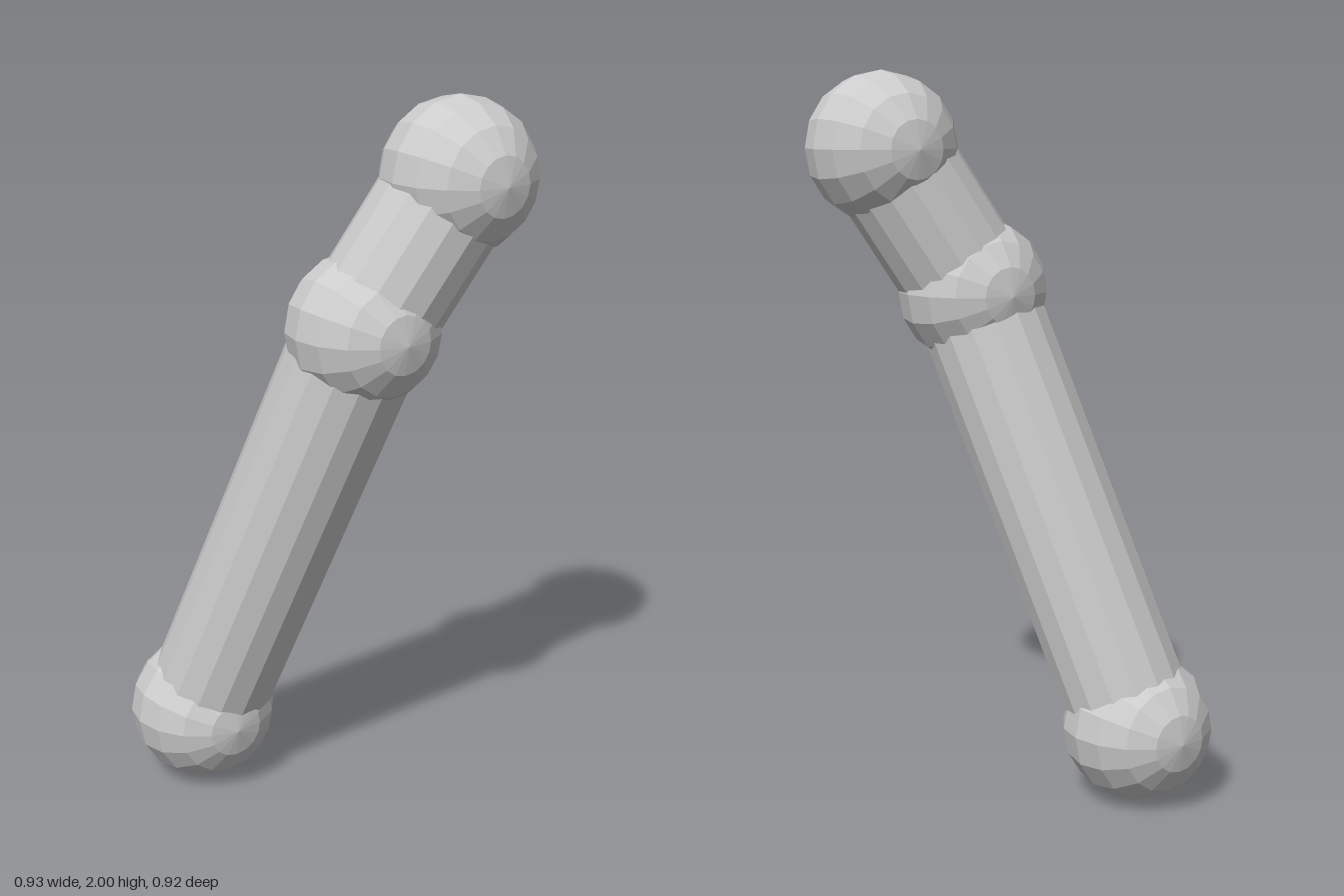
import * as THREE from 'three';

const BALL_RADIUS = 0.208;
const TUBE_RADIUS = 0.174;
const SIDES = 16;

export function createModel() {
  const group = new THREE.Group();
  const material = new THREE.MeshStandardMaterial({ color: 0xcccccc, flatShading: true });

  // Joint centres from the foot of the limb to its tip
  const joints = [
    ['lowerJoint', new THREE.Vector3(-0.255, 0.208, -0.25)],
    ['middleJoint', new THREE.Vector3(0.02, 1.4, 0.165)],
    ['upperJoint', new THREE.Vector3(0.255, 1.792, 0.25)],
  ];

  // Faceted balls with their poles facing front and back
  const ballGeometry = new THREE.SphereGeometry(BALL_RADIUS, SIDES, SIDES / 2).rotateX(Math.PI / 2);
  for (const [name, centre] of joints) {
    const ball = new THREE.Mesh(ballGeometry, material);
    ball.name = name;
    ball.position.copy(centre);
    group.add(ball);
  }

  // Straight tubes from centre to centre
  const addTube = (name, from, to) => {
    const axis = to.clone().sub(from);
    const tube = new THREE.Mesh(
      new THREE.CylinderGeometry(TUBE_RADIUS, TUBE_RADIUS, axis.length(), SIDES), material);
    tube.name = name;
    tube.position.copy(from).add(to).multiplyScalar(0.5);
    tube.quaternion.setFromUnitVectors(new THREE.Vector3(0, 1, 0), axis.normalize());
    group.add(tube);
  };
  addTube('longSegment', joints[0][1], joints[1][1]);
  addTube('shortSegment', joints[1][1], joints[2][1]);

  return group;
}
